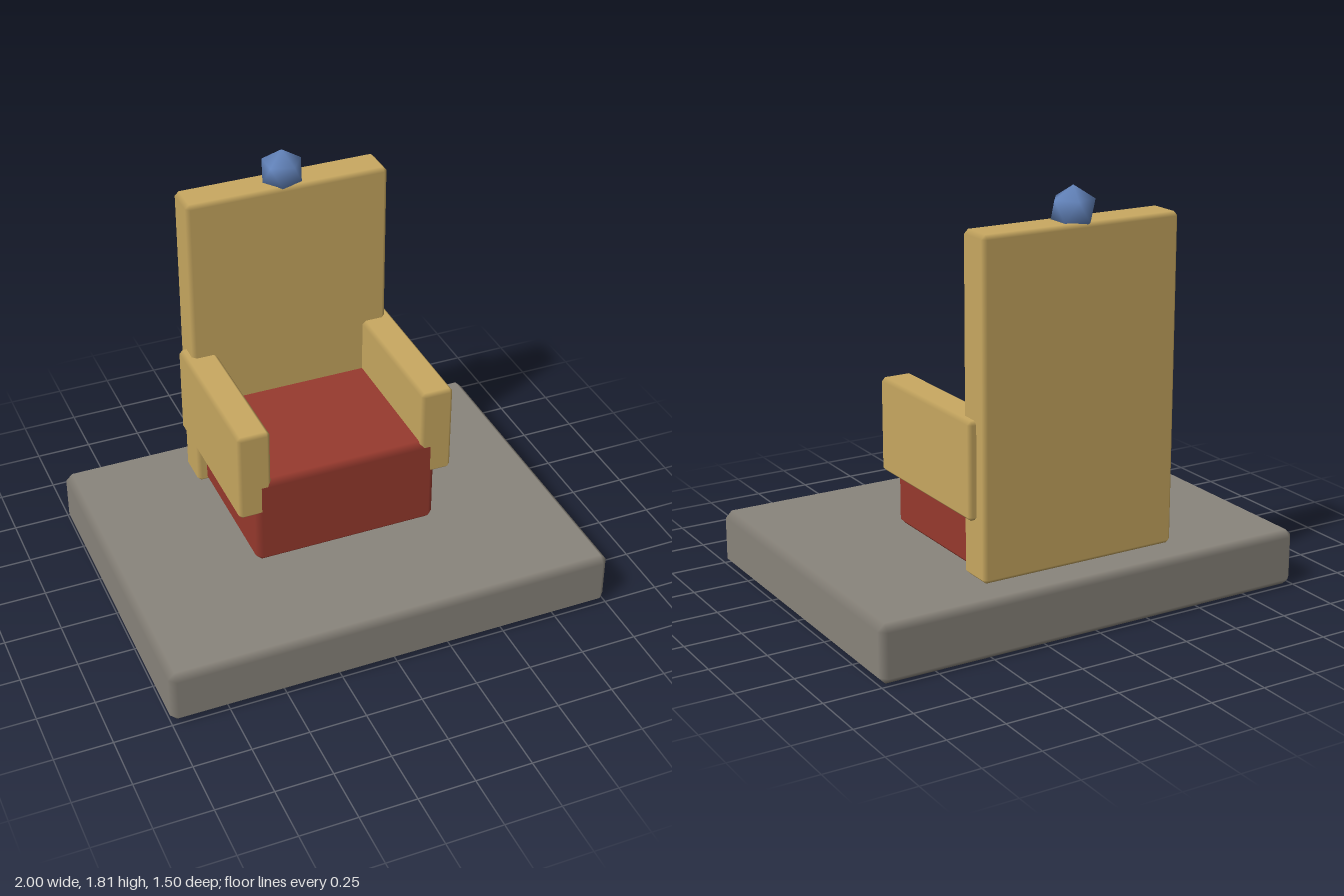
import * as THREE from 'three';
import { ConvexGeometry } from 'three/addons/geometries/ConvexGeometry.js';

const paint = (color) => new THREE.MeshStandardMaterial({ color });
const stone = paint(0x8a857c);
const gold = paint(0xc9a961);
const red = paint(0x983a2e);
const blue = paint(0x6485bd);

// Chamfered box between two corners: flat faces, softly blended chamfers.
function bevelBox(name, material, min, max, bevel) {
  const half = min.map((v, i) => (max[i] - v) / 2);
  const points = [];
  for (let axis = 0; axis < 3; axis++) {
    for (const sx of [-1, 1]) for (const sy of [-1, 1]) for (const sz of [-1, 1]) {
      const p = [sx, sy, sz].map((s, i) => s * (half[i] - (i === axis ? 0 : bevel)));
      points.push(new THREE.Vector3(...p));
    }
  }
  const geometry = new ConvexGeometry(points);
  const pos = geometry.attributes.position;
  const normal = geometry.attributes.normal;
  // Each corner point lies on exactly one main face and takes its normal.
  for (let i = 0; i < pos.count; i++) {
    const n = [pos.getX(i), pos.getY(i), pos.getZ(i)]
      .map((v, k) => (Math.abs(v) > half[k] - bevel * 0.5 ? Math.sign(v) : 0));
    normal.setXYZ(i, ...n);
  }
  const mesh = new THREE.Mesh(geometry, material);
  mesh.name = name;
  mesh.position.set(...min.map((v, i) => (v + max[i]) / 2));
  return mesh;
}

// Smooth-shaded icosahedron standing on one point.
function jewel(radius) {
  const geometry = new THREE.IcosahedronGeometry(radius, 0);
  geometry.rotateZ(-Math.atan(2 / (1 + Math.sqrt(5))));
  const pos = geometry.attributes.position;
  const v = new THREE.Vector3();
  for (let i = 0; i < pos.count; i++) {
    v.fromBufferAttribute(pos, i).normalize();
    geometry.attributes.normal.setXYZ(i, v.x, v.y, v.z);
  }
  const mesh = new THREE.Mesh(geometry, blue);
  mesh.name = 'jewel';
  return mesh;
}

export function createModel() {
  const throne = new THREE.Group();
  throne.name = 'throne';

  // Stone platform
  throne.add(bevelBox('platform', stone, [-1, 0, -0.75], [1, 0.25, 0.75], 0.03));

  // Seat block and tall back
  throne.add(bevelBox('seat', red, [-0.415, 0.25, -0.54], [0.415, 0.67, 0.208], 0.027));
  throne.add(bevelBox('backrest', gold, [-0.457, 0.25, -0.6], [0.457, 1.67, -0.435], 0.018));

  // Armrests
  throne.add(bevelBox('leftArmrest', gold, [0.345, 0.505, -0.54], [0.49, 0.92, 0.206], 0.016));
  throne.add(bevelBox('rightArmrest', gold, [-0.49, 0.505, -0.54], [-0.345, 0.92, 0.206], 0.016));

  // Jewel set into the top edge of the back
  const gem = jewel(0.098);
  gem.position.set(0, 1.712, -0.517);
  throne.add(gem);

  return throne;
}
